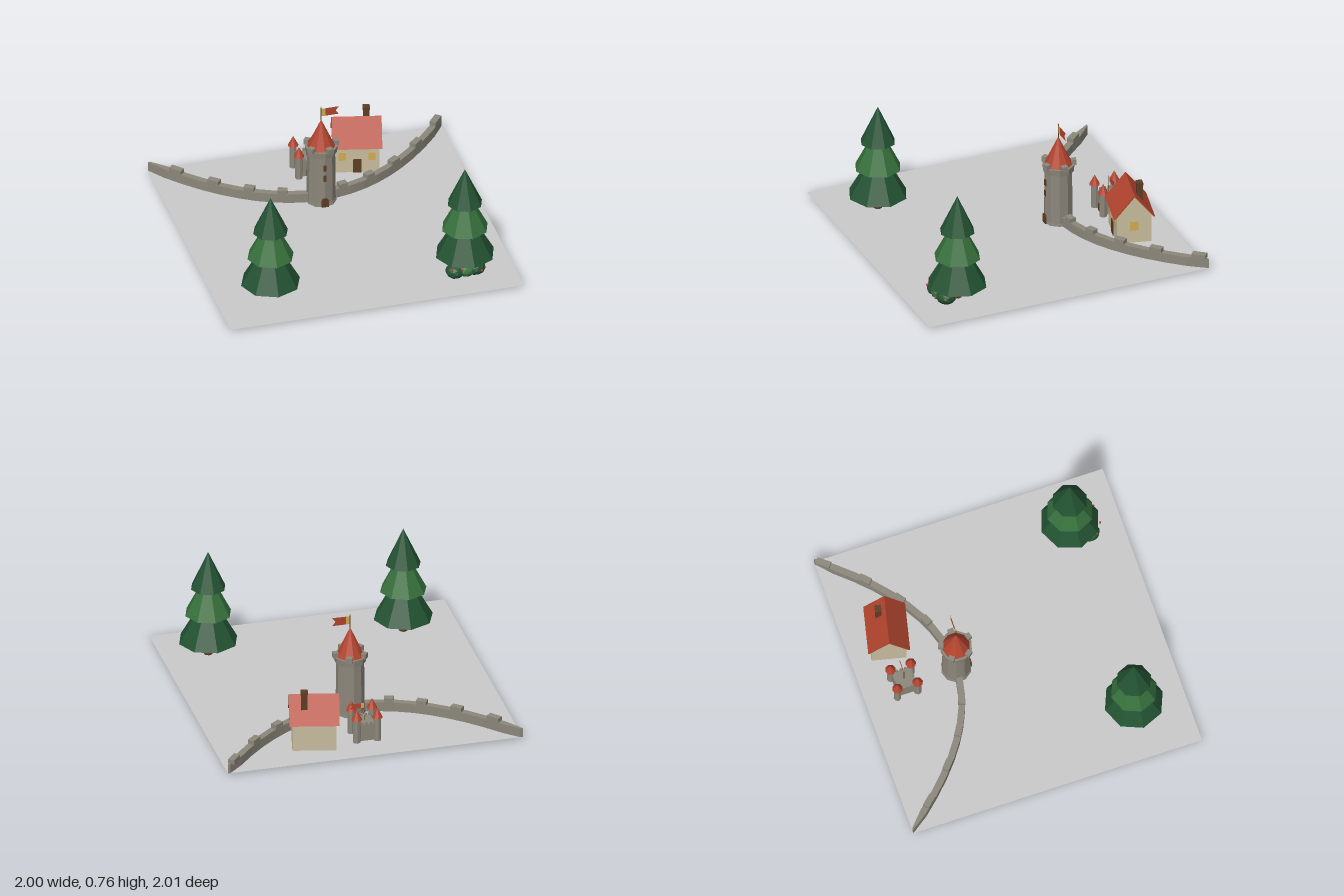
import * as THREE from 'three';

const mat = (name, color, extra = {}) => {
  const m = new THREE.MeshStandardMaterial({ color, flatShading: true, ...extra });
  m.name = name;
  return m;
};

export function createModel() {
  const root = new THREE.Group();
  root.name = 'fortifiedVillage';
  const DS = { side: THREE.DoubleSide };
  const ground = mat('ground', 0xcacaca, DS);
  const stone = mat('stone', 0x8c877b);
  const red = mat('roofRed', 0xb4452f, DS);
  const dark = mat('darkGreen', 0x235232);
  const mid = mat('midGreen', 0x37703c);
  const cream = mat('plaster', 0xc9be9f);
  const brown = mat('wood', 0x5e3d25);
  const gold = mat('windowGold', 0xd2ad55, DS);
  const G = 0.015; // ground level

  const add = (parent, name, geo, m, x = 0, y = 0, z = 0, ry = 0) => {
    const mesh = new THREE.Mesh(geo, m);
    mesh.name = name;
    mesh.position.set(x, y, z);
    mesh.rotation.y = ry;
    parent.add(mesh);
    return mesh;
  };
  const group = (name, x, z, ry = 0) => {
    const g = new THREE.Group();
    g.name = name;
    g.position.set(x, 0, z);
    g.rotation.y = ry;
    root.add(g);
    return g;
  };
  const box = (w, h, d) => new THREE.BoxGeometry(w, h, d);
  // cylinder or cone standing on y0 and reaching y1
  const drum = (p, name, rTop, rBase, y0, y1, n, m, x = 0, z = 0, ry = 0) =>
    add(p, name, new THREE.CylinderGeometry(rTop, rBase, y1 - y0, n), m, x, (y0 + y1) / 2, z, ry);
  const poly = (pts) => new THREE.Shape(pts.map(([x, y]) => new THREE.Vector2(x, y)));
  // swallow-tailed flag with a gold strip by the pole
  const flag = (p, x, y, len, h) => {
    add(p, 'flagStrip', new THREE.PlaneGeometry(len * 0.22, h), gold, x + len * 0.11, y);
    add(p, 'flag', new THREE.ShapeGeometry(poly([[len * 0.22, -h / 2], [len, -h / 2],
      [len * 0.82, 0], [len, h / 2], [len * 0.22, h / 2]])), red, x, y);
  };

  add(root, 'ground', new THREE.PlaneGeometry(2, 2).rotateX(-Math.PI / 2), ground, 0, G);

  // Curved curtain wall, trimmed at the edges of the ground
  const wallZ = (x) => -0.365 - 0.655 * x * x;
  const side = (off) => {
    const pts = [];
    for (let i = 0; i <= 20; i++) {
      const x = -1 + i * 0.1, s = -1.31 * x, l = Math.hypot(1, s);
      const px = THREE.MathUtils.clamp(x - (s / l) * off, -1, 1);
      pts.push([px, -Math.max(wallZ(x) + off / l, -1)]);
    }
    return pts;
  };
  const wallShape = poly([...side(0.022), ...side(-0.022).reverse()]);
  add(root, 'curtainWall', new THREE.ExtrudeGeometry(wallShape, { depth: 0.065, bevelEnabled: false })
    .rotateX(-Math.PI / 2), stone, 0, G);
  for (let i = 0; i < 10; i++) {
    const x = -0.85 + i * 0.2;
    if (Math.abs(x) < 0.1) continue;
    const s = -1.31 * x;
    add(root, 'wallMerlon', box(0.06 * Math.hypot(1, s), 0.03, 0.045), stone,
      Math.min(x, 0.945), 0.093, Math.max(wallZ(x), -0.955), -Math.atan(s));
  }

  // Watchtower
  const tower = group('watchtower', 0, -0.36);
  drum(tower, 'towerBase', 0.1, 0.103, 0, 0.032, 10, stone);
  drum(tower, 'towerShaft', 0.092, 0.096, 0.03, 0.4, 10, stone);
  drum(tower, 'towerCollar', 0.108, 0.104, 0.39, 0.435, 10, stone);
  for (let i = 0; i < 5; i++) {
    const a = (i * Math.PI * 2) / 5;
    add(tower, 'towerMerlon', box(0.034, 0.036, 0.04), stone, 0.1 * Math.cos(a), 0.446, -0.1 * Math.sin(a), a);
  }
  drum(tower, 'towerRoof', 0, 0.095, 0.43, 0.637, 10, red);
  drum(tower, 'flagPole', 0.003, 0.003, 0.62, 0.73, 6, brown);
  add(tower, 'poleKnob', new THREE.IcosahedronGeometry(0.006), gold, 0, 0.73, 0);
  flag(tower, 0.003, 0.69, 0.118, 0.058);
  for (const y of [0.233, 0.312]) add(tower, 'towerWindow', box(0.018, 0.045, 0.009), brown, 0, y, 0.093);
  add(tower, 'towerDoor', new THREE.ExtrudeGeometry(poly([[-0.024, 0], [0.024, 0], [0.024, 0.05],
    [0.012, 0.066], [-0.012, 0.066], [-0.024, 0.05]]), { depth: 0.009, bevelEnabled: false }), brown, 0, G, 0.094);

  // Small castle with four corner turrets
  const castle = group('smallCastle', 0, -0.72);
  add(castle, 'keep', box(0.13, 0.12, 0.13), stone, 0, 0.073, 0);
  for (const sx of [-1, 1]) for (const sz of [-1, 1]) {
    drum(castle, 'turret', 0.024, 0.026, 0.01, 0.182, 8, stone, sx * 0.07, sz * 0.07);
    drum(castle, 'turretRoof', 0, 0.036, 0.18, 0.252, 8, red, sx * 0.07, sz * 0.07);
  }
  for (let k = 0; k < 4; k++) for (const o of [-0.03, 0, 0.03]) {
    const a = (k * Math.PI) / 2, c = Math.cos(a), s = Math.sin(a);
    add(castle, 'keepMerlon', box(0.015, 0.018, 0.012), stone, o * c + 0.063 * s, 0.141, 0.063 * c - o * s, a);
  }
  add(castle, 'castleGate', box(0.036, 0.055, 0.008), brown, 0, G + 0.027, 0.066);
  drum(castle, 'castlePole', 0.0025, 0.0025, 0.13, 0.265, 6, brown);
  flag(castle, 0, 0.242, 0.1, 0.036);

  // Cottage
  const house = group('cottage', 0.342, -0.723, -0.23);
  add(house, 'cottageWalls', new THREE.ExtrudeGeometry(poly([[-0.115, G], [0.115, G], [0.115, 0.222],
    [0, 0.362], [-0.115, 0.222]]), { depth: 0.29, bevelEnabled: false })
    .translate(0, 0, -0.145).rotateY(Math.PI / 2), cream);
  add(house, 'cottageRoof', new THREE.ExtrudeGeometry(poly([[-0.138, 0.205], [-0.128, 0.205], [0, 0.361],
    [0.128, 0.205], [0.138, 0.205], [0, 0.376]]), { depth: 0.33, bevelEnabled: false })
    .translate(0, 0, -0.165).rotateY(Math.PI / 2), red);
  add(house, 'chimney', box(0.042, 0.14, 0.038), brown, 0.066, 0.34, -0.05);
  add(house, 'chimneyCap', box(0.048, 0.02, 0.043), brown, 0.066, 0.413, -0.05);
  add(house, 'cottageDoor', box(0.055, 0.1, 0.008), brown, 0, G + 0.05, 0.116);
  for (const s of [-1, 1]) {
    add(house, 'frontWindow', box(0.048, 0.06, 0.008), gold, s * 0.097, 0.138, 0.115);
  }
  add(house, 'sideWindow', box(0.008, 0.065, 0.055), gold, 0.145, 0.138, 0);

  // Fir trees: base height, height and radius of each tier
  const tiers = [[0.115, 0.36, 0.2, dark], [0.315, 0.31, 0.157, mid], [0.505, 0.26, 0.118, dark]];
  for (const [x, z, ry] of [[-0.63, 0.655, 0], [0.69, 0.665, 0.06]]) {
    const tree = group('firTree', x, z, ry);
    drum(tree, 'trunk', 0.026, 0.03, G, 0.14, 8, brown);
    for (const [y, h, r, m] of tiers) drum(tree, 'firTier', 0, r, y, y + h, 8, m);
  }

  // Berry bush
  const bush = group('berryBush', 0, 0);
  const blobs = [[0.595, 0.058, 0.77, 0.062], [0.665, 0.062, 0.775, 0.06], [0.735, 0.06, 0.765, 0.062]];
  blobs.forEach(([x, y, z, r], i) => {
    const b = add(bush, 'bushClump', new THREE.IcosahedronGeometry(r, 1), i === 1 ? mid : dark, x, y, z, i);
    b.scale.set(1.05, 0.82, 1.1);
  });
  for (const [x, y, z] of [[0.62, 0.108, 0.85], [0.72, 0.122, 0.76], [0.755, 0.08, 0.85], [0.79, 0.065, 0.79],
    [0.56, 0.09, 0.81]]) {
    add(bush, 'berry', new THREE.IcosahedronGeometry(0.009), red, x, y, z);
  }
  return root;
}
